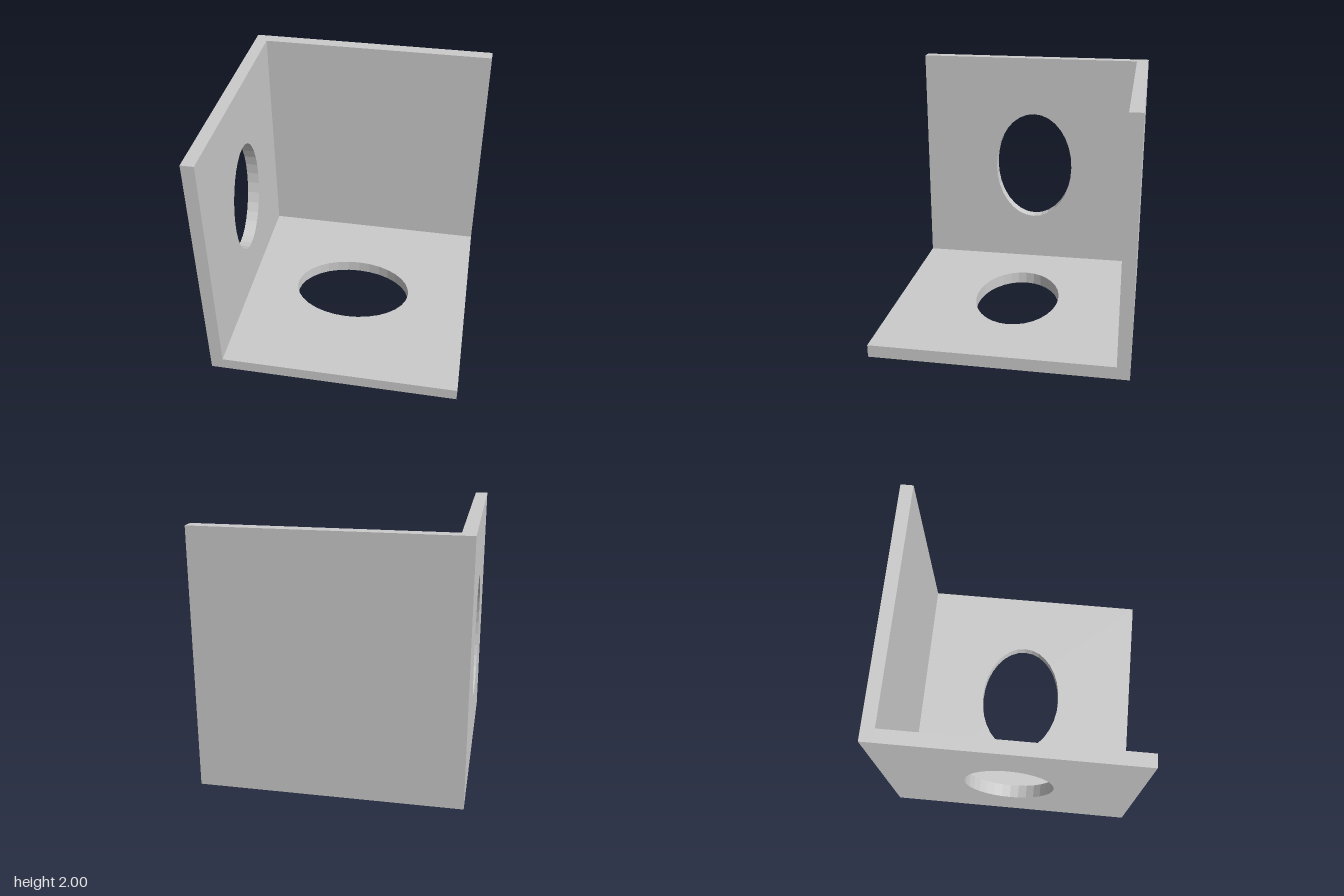
import * as THREE from 'three';

const T = 0.1; // panel thickness
const material = new THREE.MeshStandardMaterial({ color: 0xcccccc, flatShading: true });

// Flat rectangular panel, optionally pierced by an ellipse
function panel(x0, y0, x1, y1, hole) {
  const shape = new THREE.Shape([
    new THREE.Vector2(x0, y0), new THREE.Vector2(x1, y0),
    new THREE.Vector2(x1, y1), new THREE.Vector2(x0, y1),
  ]);
  if (hole) {
    const path = new THREE.Path();
    path.absellipse(hole.x, hole.y, hole.rx, hole.ry, 0, Math.PI * 2, true);
    shape.holes.push(path);
  }
  return new THREE.ExtrudeGeometry(shape, { depth: T, bevelEnabled: false, curveSegments: 16 });
}

export function createModel() {
  const group = new THREE.Group();
  const add = (name, geometry) => {
    const mesh = new THREE.Mesh(geometry, material);
    mesh.name = name;
    group.add(mesh);
  };

  // Solid back wall
  add('backWall', panel(-1, 0, 1, 2).translate(0, 0, -1));

  // Side wall with an upright oval opening
  add('sideWall', panel(-1 + T, 0, 1, 2, { x: 0, y: 1, rx: 0.35, ry: 0.494 })
    .rotateY(-Math.PI / 2).translate(-1 + T, 0, 0));

  // Floor with an oval opening, long across the width
  add('floor', panel(-1 + T, -1, 1, 1 - T, { x: 0, y: 0, rx: 0.494, ry: 0.35 })
    .rotateX(-Math.PI / 2));

  return group;
}
